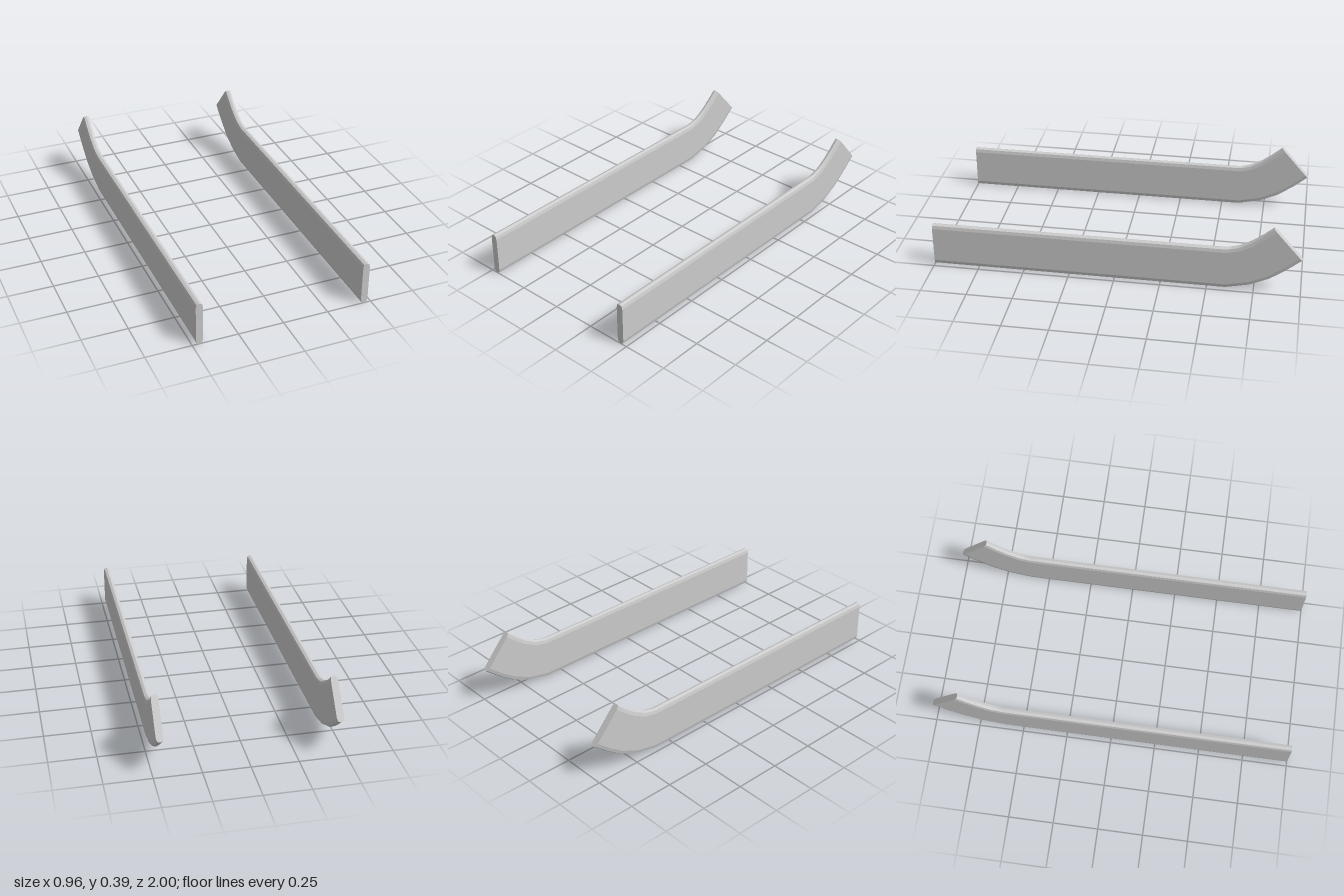
import * as THREE from 'three';
import { mergeGeometries } from 'three/addons/utils/BufferGeometryUtils.js';

// Stations along the runner: bottom z, bottom y, top z, top y
const STATIONS = [
  [1, 0, 1, 0.246],
  [-0.6, 0, -0.6, 0.246],
  [-0.73, 0.029, -0.663, 0.262],
  [-0.835, 0.077, -0.727, 0.297],
  [-0.92, 0.138, -0.785, 0.34],
  [-1, 0.205, -0.84, 0.388],
];

// Bevelled cross-section, counter-clockwise: x offset, fraction of height
const SECTION = [
  [0, 0], [0.0145, 0.025], [0.019, 0.1],
  [0.019, 0.9], [0.0145, 0.975], [0, 1],
  [-0.0145, 0.975], [-0.019, 0.9],
  [-0.019, 0.1], [-0.0145, 0.025],
];

function place([bz, by, tz, ty], [x, f]) {
  return [x, by + (ty - by) * f, bz + (tz - bz) * f];
}

function indexed(points, index) {
  const g = new THREE.BufferGeometry();
  g.setAttribute('position', new THREE.Float32BufferAttribute(points.flat(), 3));
  g.setIndex(index);
  g.computeVertexNormals();
  return g;
}

function runnerGeometry() {
  const pieces = [];
  const n = SECTION.length;
  // One strip per section edge: smooth lengthwise, sharp at the bevels
  for (let j = 0; j < n; j++) {
    const points = [], index = [];
    STATIONS.forEach((s, i) => {
      points.push(place(s, SECTION[j]), place(s, SECTION[(j + 1) % n]));
      if (i > 0) {
        const a = 2 * i - 2;
        index.push(a, a + 2, a + 1, a + 1, a + 2, a + 3);
      }
    });
    pieces.push(indexed(points, index));
  }
  // Flat end caps
  [STATIONS[0], STATIONS[STATIONS.length - 1]].forEach((s, end) => {
    const index = [];
    for (let j = 1; j < n - 1; j++) index.push(...(end ? [0, j + 1, j] : [0, j, j + 1]));
    pieces.push(indexed(SECTION.map((p) => place(s, p)), index));
  });
  return mergeGeometries(pieces);
}

export function createModel() {
  const group = new THREE.Group();
  group.name = 'runners';
  const grey = new THREE.MeshStandardMaterial({ color: 0xcccccc });
  grey.name = 'light grey';
  const geometry = runnerGeometry();
  // Matching pair of upturned runners
  for (const [name, x] of [['leftRunner', 0.461], ['rightRunner', -0.461]]) {
    const runner = new THREE.Mesh(geometry, grey);
    runner.name = name;
    runner.position.x = x;
    group.add(runner);
  }
  return group;
}
